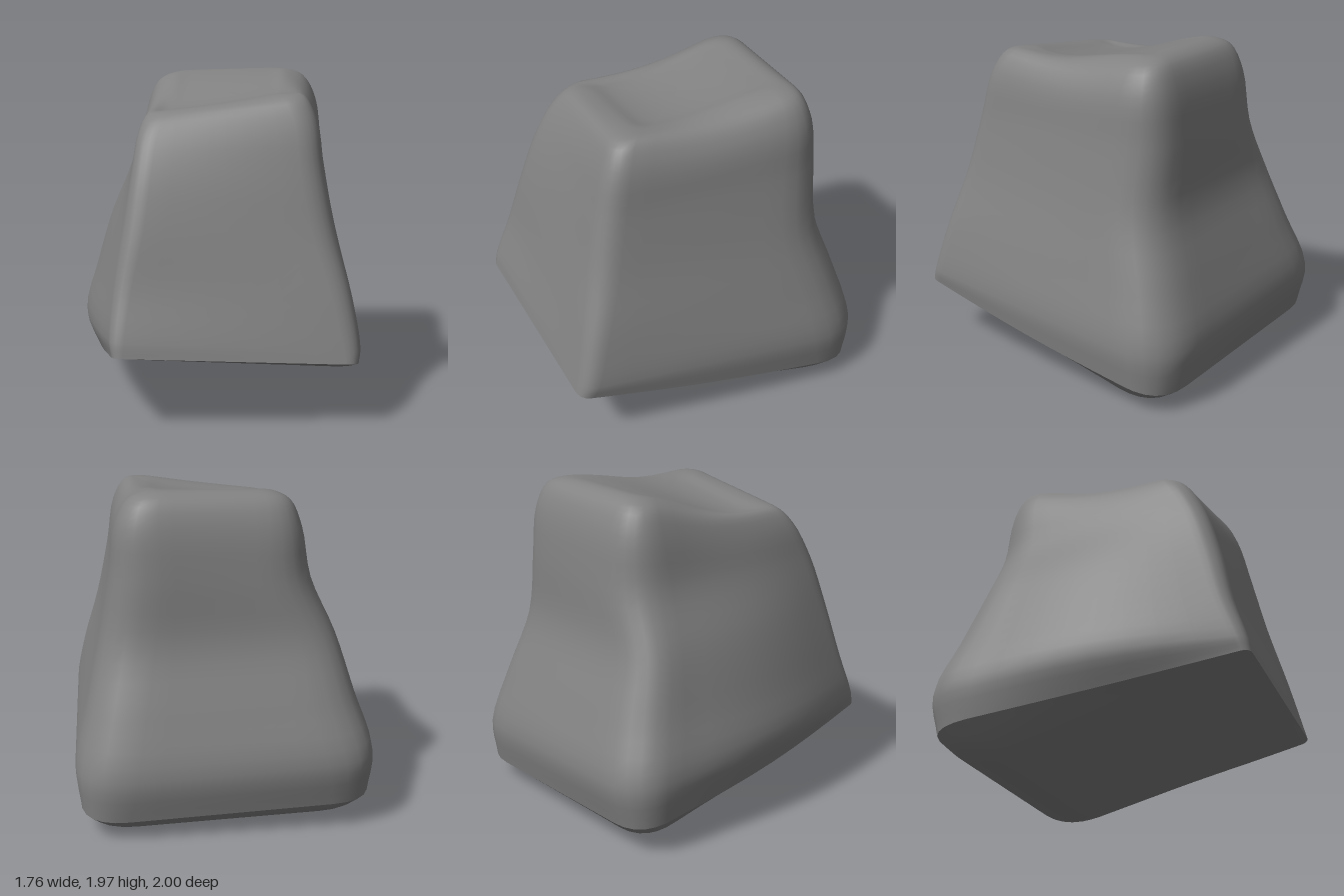
import * as THREE from 'three';

const V = (p) => new THREE.Vector3(...p);
const EDGE = 8, ROUND = 6;

// Closed ring through four corners (front -x, front +x, back +x, back -x),
// each rounded by its own radius; bulge pushes the -x side out, sag lowers both long sides.
function ring(corners, radii, bulge = 0, sag = 0) {
  const c = corners.map(V), out = [];
  const toward = (a, b, d) => a.clone().addScaledVector(b.clone().sub(a).normalize(), d);
  for (let i = 0; i < 4; i++) {
    const p = c[(i + 3) % 4], q = c[i], n = c[(i + 1) % 4];
    const bend = new THREE.QuadraticBezierCurve3(toward(q, p, radii[i]), q, toward(q, n, radii[i]));
    out.push(...bend.getPoints(ROUND));
    const end = out[out.length - 1], next = toward(n, q, radii[(i + 1) % 4]);
    for (let k = 1; k < EDGE; k++) {
      const m = end.clone().lerp(next, k / EDGE), s = Math.sin(Math.PI * k / EDGE);
      if (i % 2) m.y -= sag * s;
      if (i === 3) m.x -= bulge * s;
      out.push(m);
    }
  }
  return out;
}

// Ring pulled toward a centre point
const shrink = (r, centre, t) => r.map((p) => p.clone().lerp(V(centre), t));

// Top surface: low front corner, raised back, shallow dip behind the front edge
function ontoTop(r) {
  return r.map(({ x, z }) => {
    const u = Math.max(0, (x + 0.3) / 0.72), v = (0.4 - z) / 0.98;
    const front = 1.79 + 0.11 * u ** 1.3, back = 1.955 + 0.01 * u;
    const y = THREE.MathUtils.lerp(front, back, THREE.MathUtils.smoothstep(v, 0, 1)) - 0.28 * v * (1 - v) ** 2;
    return new THREE.Vector3(x, y, z);
  });
}

// Smooth skin through a stack of rings, with shared vertices for soft shading
function loft(rings, steps) {
  const n = rings[0].length, rows = (rings.length - 1) * steps;
  const curves = rings[0].map((_, j) => new THREE.CatmullRomCurve3(rings.map((r) => r[j]), false, 'centripetal'));
  const pos = [], idx = [];
  for (let i = 0; i <= rows; i++) {
    for (const c of curves) pos.push(...c.getPoint(i / rows).toArray());
  }
  for (let i = 0; i < rows; i++) {
    for (let j = 0; j < n; j++) {
      const a = i * n + j, b = i * n + (j + 1) % n;
      idx.push(a, b, b + n, a, b + n, a + n);
    }
  }
  const g = new THREE.BufferGeometry();
  g.setAttribute('position', new THREE.Float32BufferAttribute(pos, 3));
  g.setIndex(idx);
  g.computeVertexNormals();
  return g;
}

export function createModel() {
  const group = new THREE.Group();
  group.name = 'rock';
  const material = new THREE.MeshStandardMaterial({ color: 0x828282 });

  // Crisp rim between the body and the sloping underside
  const rim = ring([[-0.55, 0.445, 1.005], [0.85, 0.385, 0.87], [0.86, 0.11, -0.97], [-0.89, 0.165, -0.89]], [0.06, 0.08, 0.28, 0.28], 0.03, 0.02);

  // Body: flared foot, waist at the back, narrow slanted top
  const top = ontoTop(ring([[-0.3, 0, 0.4], [0.42, 0, 0.37], [0.43, 0, -0.59], [-0.29, 0, -0.5]], [0.1, 0.1, 0.12, 0.12]));
  const topCentre = [0.06, 0, -0.05];
  const body = [
    rim,
    ring([[-0.565, 0.53, 0.99], [0.86, 0.46, 0.85], [0.89, 0.36, -1.01], [-0.93, 0.43, -0.945]], [0.08, 0.1, 0.36, 0.36], 0.08),
    ring([[-0.55, 0.8, 0.9], [0.81, 0.75, 0.785], [0.815, 0.7, -0.915], [-0.82, 0.75, -0.85]], [0.1, 0.12, 0.34, 0.34], 0.07),
    ring([[-0.5, 1.15, 0.815], [0.715, 1.1, 0.7], [0.73, 1.1, -0.785], [-0.695, 1.1, -0.73]], [0.12, 0.14, 0.32, 0.28], 0.05),
    ring([[-0.465, 1.45, 0.715], [0.645, 1.45, 0.63], [0.665, 1.5, -0.775], [-0.535, 1.43, -0.7]], [0.12, 0.14, 0.3, 0.28], 0.02),
    ring([[-0.435, 1.66, 0.6], [0.6, 1.74, 0.565], [0.63, 1.78, -0.745], [-0.47, 1.75, -0.66]], [0.12, 0.13, 0.25, 0.22], 0, 0.03),
    ring([[-0.38, 1.76, 0.505], [0.525, 1.87, 0.5], [0.55, 1.925, -0.68], [-0.4, 1.905, -0.59]], [0.11, 0.12, 0.18, 0.16], 0, 0.04),
    top,
    ...[0.25, 0.5, 0.75, 1].map((t) => ontoTop(shrink(top, topCentre, t))),
  ];

  // Underside: slopes up toward the front, rounded under at the back
  const heel = ring([[-0.52, 0.43, 0.95], [0.8, 0.36, 0.82], [0.78, 0.03, -0.85], [-0.79, 0.08, -0.8]], [0.06, 0.08, 0.24, 0.24], 0.02);
  const under = ring([[-0.45, 0.395, 0.85], [0.72, 0.335, 0.74], [0.61, -0.01, -0.65], [-0.62, 0.035, -0.62]], [0.06, 0.08, 0.18, 0.18]);
  const underCentre = [0.04, 0.175, 0.03];
  const bottom = [shrink(under, underCentre, 1), shrink(under, underCentre, 0.5), under, heel, rim];

  [['rockBody', body], ['rockUnderside', bottom]].forEach(([name, rings]) => {
    const mesh = new THREE.Mesh(loft(rings, 4), material);
    mesh.name = name;
    group.add(mesh);
  });
  return group;
}
